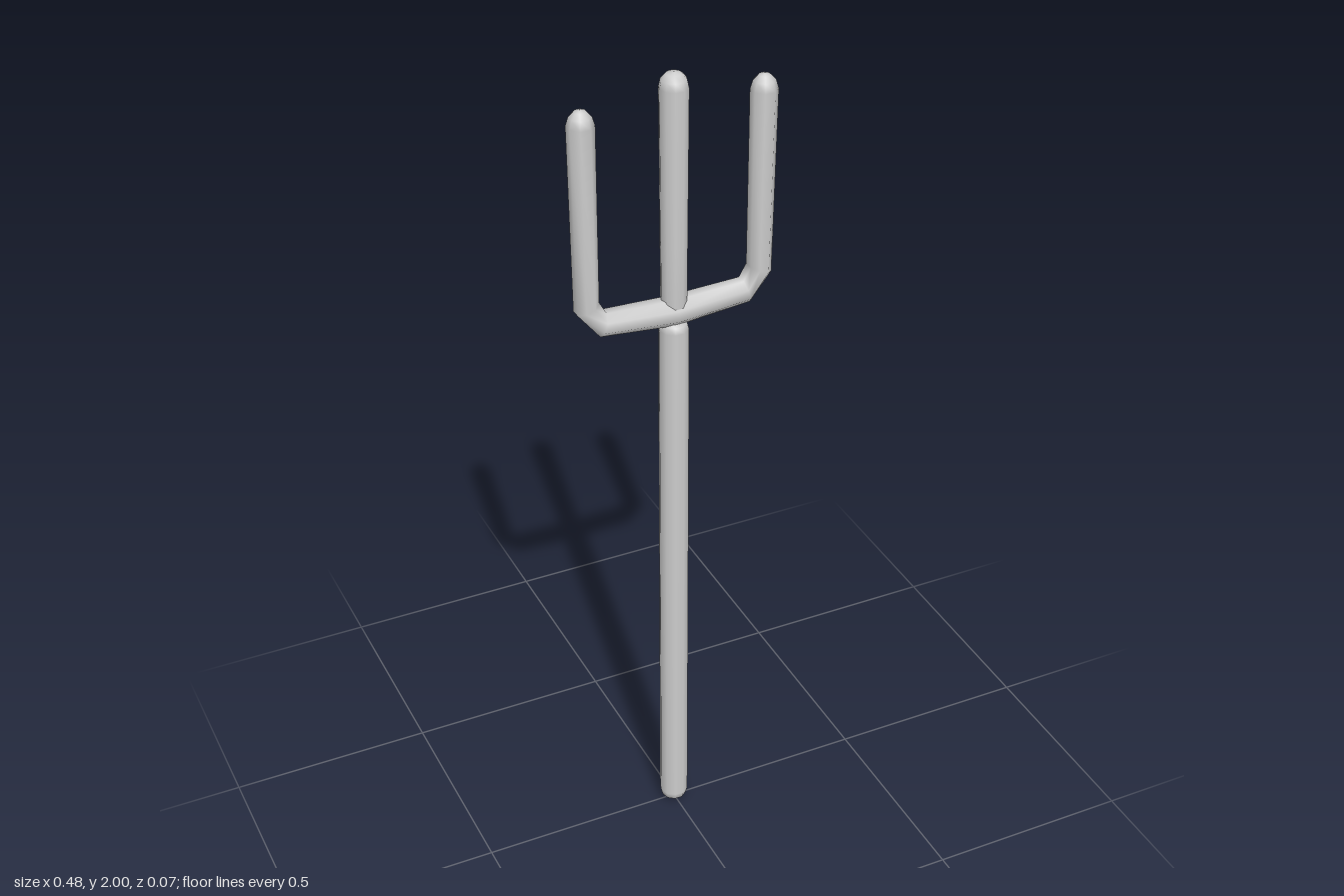
import * as THREE from 'three';

const SIDES = 8;

// Smooth closed tube lofted through rings [x, y, heading in degrees, radius]
function loft(rings) {
  const pos = [], idx = [];
  for (const [x, y, deg, r] of rings) {
    const a = THREE.MathUtils.degToRad(deg);
    for (let j = 0; j < SIDES; j++) {
      const t = ((j + 0.5) / SIDES) * Math.PI * 2;
      const s = r * Math.sin(t);
      pos.push(x + s * Math.sin(a), y - s * Math.cos(a), r * Math.cos(t));
    }
  }
  for (let i = 0; i < rings.length - 1; i++) {
    for (let j = 0; j < SIDES; j++) {
      const k = (j + 1) % SIDES;
      const a = i * SIDES + j, b = i * SIDES + k;
      idx.push(a, b, a + SIDES, b, b + SIDES, a + SIDES);
    }
  }
  const g = new THREE.BufferGeometry();
  g.setAttribute('position', new THREE.Float32BufferAttribute(pos, 3));
  g.setIndex(idx);
  g.computeVertexNormals();
  return g;
}

// Upright rod with rounded ends, from a [radius, y] profile
function rod(profile) {
  const points = profile.map(([r, y]) => new THREE.Vector2(r, y));
  return new THREE.LatheGeometry(points, 10, Math.PI / 2);
}

export function createModel() {
  const model = new THREE.Group();
  const metal = new THREE.MeshStandardMaterial({ color: 0xcccccc });
  metal.name = 'grey metal';

  const add = (name, geometry) => {
    const mesh = new THREE.Mesh(geometry, metal);
    mesh.name = name;
    model.add(mesh);
  };

  // Long handle, ending under the crossbar
  add('shaft', rod([
    [0, 0], [0.02, 0.003], [0.03, 0.012], [0.035, 0.03],
    [0.035, 1.385], [0.031, 1.4], [0.02, 1.41], [0, 1.412],
  ]));

  // Middle prong, slightly thinner than the handle
  add('centrePronge'.replace('ge', 'g'), rod([
    [0, 1.39], [0.022, 1.4], [0.03, 1.43], [0.031, 1.6], [0.033, 1.965],
    [0.029, 1.983], [0.018, 1.996], [0, 2],
  ]));

  // Outer prongs and crossbar: one bent tube, mirrored about the centre
  const half = [
    [0.174, 1.4415, 17, 0.031],
    [0.209, 1.49, 69, 0.03],
    [0.2125, 1.92, 90, 0.031],
    [0.2125, 1.94, 90, 0.025],
    [0.2125, 1.952, 90, 0.014],
    [0.2125, 1.956, 90, 0.0005],
  ];
  const mirrored = half.map(([x, y, deg, r]) => [-x, y, -deg, r]).reverse();
  add('crossbarAndOuterProngs', loft([...mirrored, [0, 1.43, 0, 0.035], ...half]));

  return model;
}
